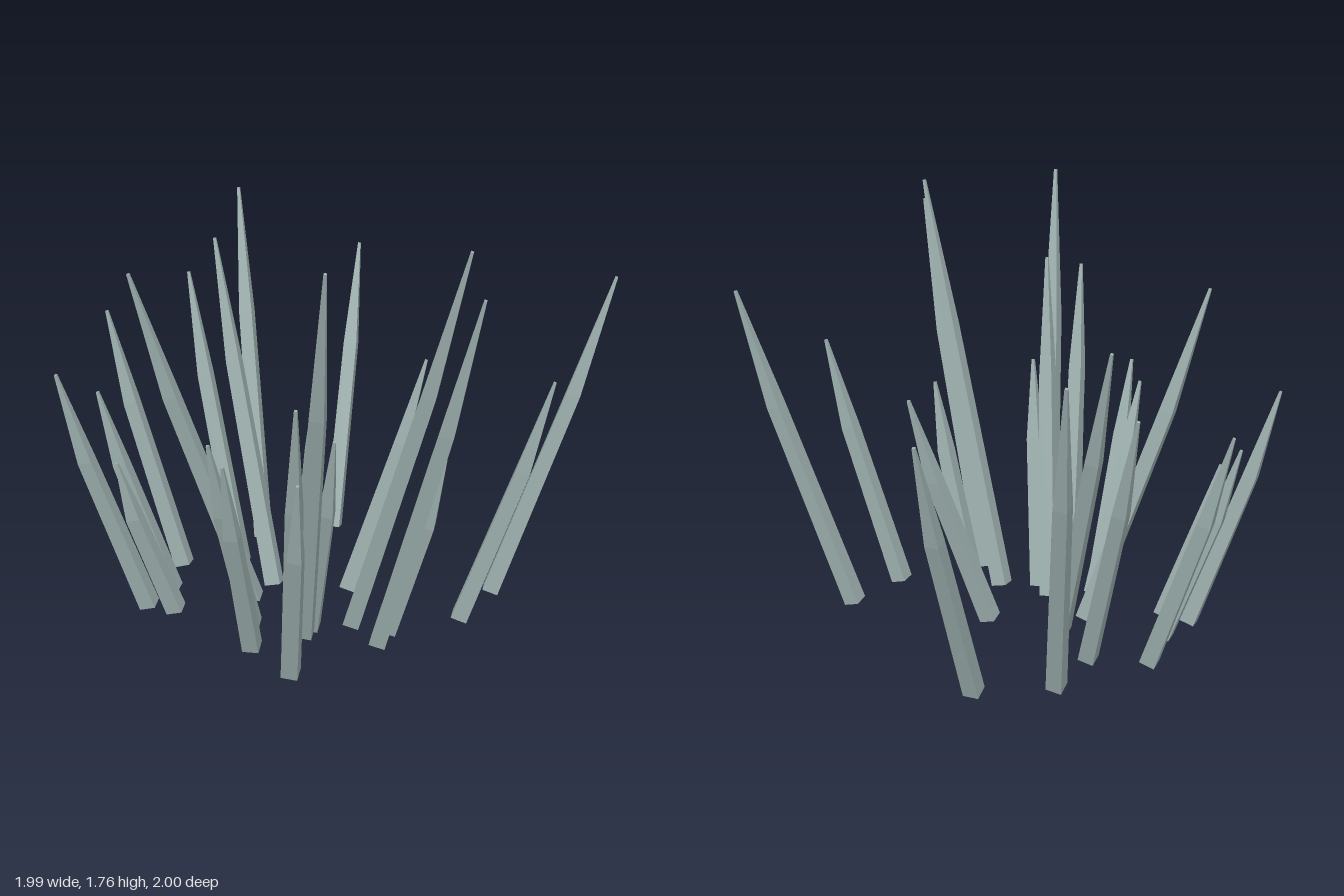
import * as THREE from 'three';

// Each blade: base x, base z, tip x, tip z, tip height
const BLADES = [
  [0.605, 0.41, 0.985, 0.65, 1.43],
  [0.352, 0.52, 0.58, 0.775, 1.11],
  [0.105, 0.055, 0.41, 0.17, 1.04],
  [0.373, -0.46, 0.68, -0.71, 1.26],
  [0.05, -0.55, 0.215, -0.99, 1.525],
  [-0.157, -0.4, -0.16, -0.795, 1.255],
  [-0.142, -0.15, -0.135, -0.605, 1.455],
  [-0.28, -0.092, -0.73, -0.245, 1.51],
  [-0.605, -0.19, -0.815, -0.255, 0.72],
  [-0.68, -0.285, -0.985, -0.412, 1.09],
  [-0.53, -0.35, -0.75, -0.532, 0.92],
  [-0.38, -0.52, -0.54, -0.837, 1.14],
  [-0.4, 0.09, -0.66, 0.217, 0.94],
  [-0.495, 0.245, -0.722, 0.433, 0.95],
  [-0.435, 0.445, -0.632, 0.8, 1.29],
  [-0.472, 0.5, -0.608, 0.772, 0.98],
  [-0.26, 0.275, -0.488, 0.768, 1.755],
  [-0.21, 0.14, -0.365, 0.565, 1.43],
  [-0.205, 0.238, -0.288, 0.53, 0.98],
  [-0.05, 0.5, 0.042, 0.99, 1.62],
  [-0.05, 0.312, 0.092, 0.843, 1.75],
  [0.045, 0.44, 0.112, 0.702, 0.867],
];
const BEND = 0.015; // how far each shoulder bows outward

// Four-sided blade: slightly tapered shaft, then a long point with a blunt tip
function bladeGeometry(length, outX, outZ) {
  const shoulder = 0.65 * length;
  const profile = [[0, 0], [0.048, 0], [0.041, shoulder], [0.008, length], [0, length]];
  const geometry = new THREE.LatheGeometry(profile.map(([r, y]) => new THREE.Vector2(r, y)), 4);
  // Bow the shoulder ring in the direction of the lean
  const pos = geometry.attributes.position;
  for (let i = 0; i < pos.count; i++) {
    if (Math.abs(pos.getY(i) - shoulder) < 0.001) {
      pos.setX(i, pos.getX(i) + BEND * outX);
      pos.setZ(i, pos.getZ(i) + BEND * outZ);
    }
  }
  geometry.computeVertexNormals();
  return geometry;
}

export function createModel() {
  const group = new THREE.Group();
  group.name = 'grassTuft';
  const material = new THREE.MeshStandardMaterial({ color: 0x9aadab, flatShading: true });
  material.name = 'greyGreen';

  const up = new THREE.Vector3(0, 1, 0);
  BLADES.forEach(([bx, bz, tx, tz, h], i) => {
    const base = new THREE.Vector3(bx, 0.014, bz);
    const axis = new THREE.Vector3(tx, h, tz).sub(base);
    const lean = Math.hypot(axis.x, axis.z);
    const geometry = bladeGeometry(axis.length(), axis.x / lean, axis.z / lean);
    const blade = new THREE.Mesh(geometry, material);
    blade.name = `blade${i + 1}`;
    blade.position.copy(base);
    blade.quaternion.setFromUnitVectors(up, axis.normalize());
    group.add(blade);
  });
  return group;
}
